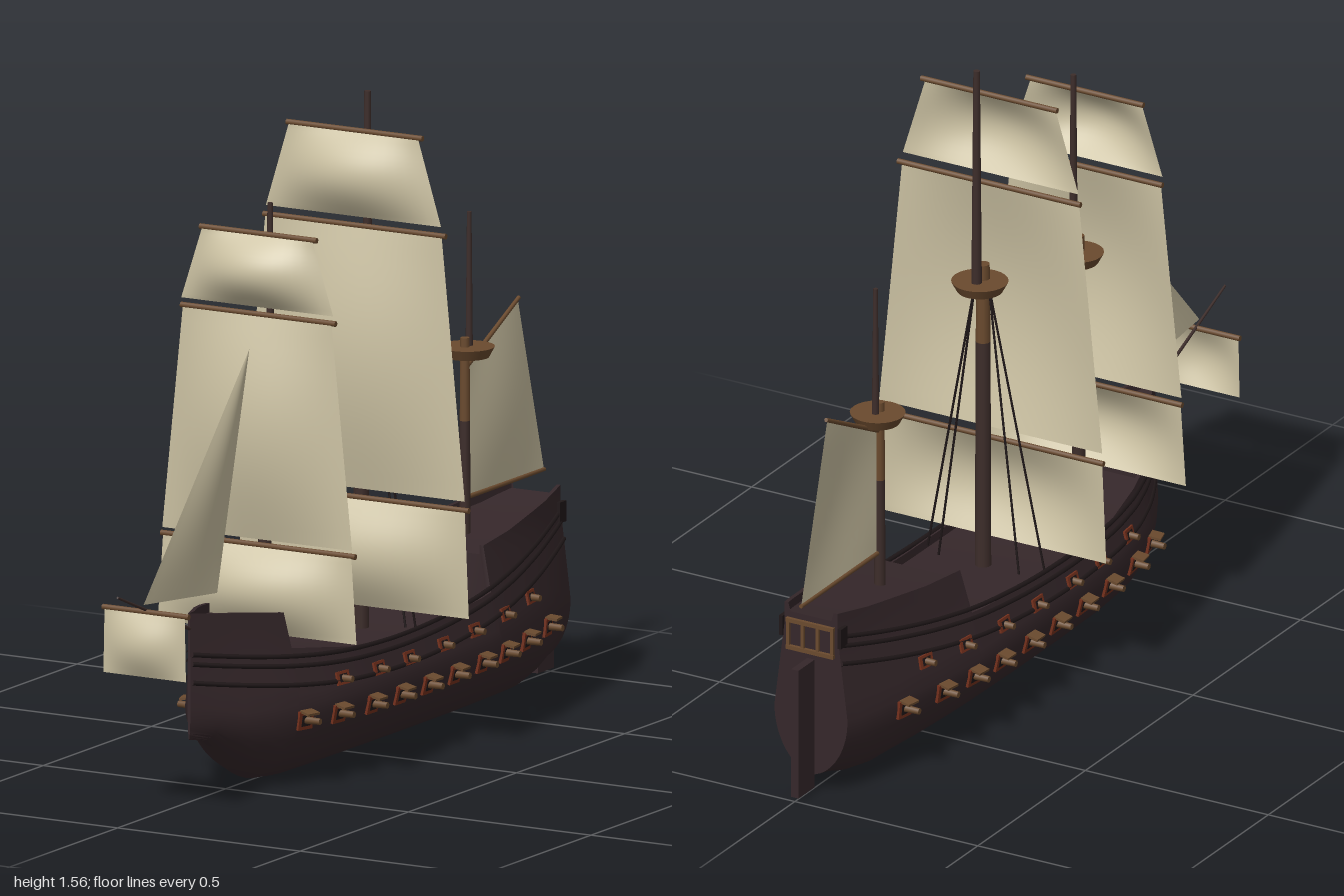
import * as THREE from 'three';
import { toCreasedNormals } from 'three/addons/utils/BufferGeometryUtils.js';

const mat = (name, color, side = THREE.FrontSide) => {
  const m = new THREE.MeshStandardMaterial({ color, side });
  m.name = name;
  return m;
};
const M = {
  hull: mat('dark hull wood', 0x35272a),
  trim: mat('black trim', 0x1f1718),
  mast: mat('dark mast wood', 0x3d2d2a),
  wood: mat('brown wood', 0x6a4a2e),
  red: mat('port red', 0x74301c),
  sail: mat('canvas', 0xcbc1a2, THREE.DoubleSide),
};
const V = (x, y, z) => new THREE.Vector3(x, y, z);

// Hull stations from bow to stern: z, half breadth, keel height, rim height
const STATIONS = [
  [0.67, 0.004, 0.15, 0.455], [0.6, 0.05, 0.135, 0.445], [0.55, 0.082, 0.1, 0.44],
  [0.48, 0.12, 0.045, 0.43], [0.412, 0.148, 0.01, 0.42], [0.405, 0.15, 0.008, 0.335],
  [0.33, 0.172, 0, 0.325], [0.2, 0.19, 0, 0.305], [0, 0.196, 0, 0.293],
  [-0.2, 0.196, 0, 0.295], [-0.4, 0.192, 0, 0.307], [-0.452, 0.189, 0, 0.312],
  [-0.462, 0.188, 0, 0.42], [-0.6, 0.172, 0, 0.43], [-0.75, 0.145, 0, 0.448],
  [-0.82, 0.128, 0.012, 0.455], [-0.88, 0.113, 0.033, 0.465], [-0.925, 0.1, 0.042, 0.472],
];
const waist = (k) => Math.max(0.2, k + 0.08);

// Half width of one section at height y: round below, leaning inwards above
function sectionWidth(b, k, y) {
  const w = waist(k);
  if (y >= w) return b * (1 - 0.28 * Math.min(1, (y - w) / 0.22));
  const c = 1 - Math.max(0, y - k) / (w - k);
  return b * Math.pow(Math.sqrt(1 - c * c), 1.15);
}
function hullWidth(z, y) {
  let i = 0;
  while (i < STATIONS.length - 2 && STATIONS[i + 1][0] > z) i++;
  const p = STATIONS[i], q = STATIONS[i + 1];
  const t = THREE.MathUtils.clamp((p[0] - z) / (p[0] - q[0]), 0, 1);
  return sectionWidth(p[1] + (q[1] - p[1]) * t, p[2] + (q[2] - p[2]) * t, y);
}

function hullGeometry() {
  const pos = [], idx = [];
  let n = 0;
  for (const [z, b, k, top] of STATIONS) {
    const half = [], w = waist(k);
    for (let s = 0; s <= 10; s++) {
      const y = k + (w - k) * (1 - Math.cos((s / 10) * Math.PI / 2));
      half.push([sectionWidth(b, k, y), y]);
    }
    for (let s = 1; s <= 5; s++) {
      const y = w + (top - w) * s / 5;
      half.push([sectionWidth(b, k, y), y]);
    }
    // bulwark and deck
    const inner = Math.max(0, half[15][0] - 0.01);
    half.push([inner, top], [inner, top - 0.022], [0, top - 0.022]);
    const ring = [...half, ...half.slice(0, -1).reverse().map(([x, y]) => [-x, y])];
    n = ring.length;
    ring.forEach(([x, y]) => pos.push(x, y, z));
  }
  const last = STATIONS.length - 1;
  for (let i = 0; i < last; i++) for (let j = 0; j < n - 1; j++) {
    const a = i * n + j, c = a + n;
    idx.push(a, c, a + 1, a + 1, c, c + 1);
  }
  // stem and transom caps
  const e = pos.length / 3;
  pos.push(0, 0.25, STATIONS[0][0], 0, 0.25, STATIONS[last][0]);
  for (let j = 0; j < n - 1; j++) idx.push(e, j, j + 1, e + 1, last * n + j + 1, last * n + j);
  const g = new THREE.BufferGeometry();
  g.setAttribute('position', new THREE.Float32BufferAttribute(pos, 3));
  g.setIndex(idx);
  return toCreasedNormals(g, 0.6);
}

export function createModel() {
  const ship = new THREE.Group();
  ship.name = 'sailingShip';
  const add = (name, geo, m, x = 0, y = 0, z = 0, parent = ship) => {
    const mesh = new THREE.Mesh(geo, m);
    mesh.name = name;
    mesh.position.set(x, y, z);
    parent.add(mesh);
    return mesh;
  };
  const box = (name, w, h, d, m, x, y, z, parent) => add(name, new THREE.BoxGeometry(w, h, d), m, x, y, z, parent);
  // round bar from a to b
  const rod = (name, a, b, r0, r1, m, sides = 10) => {
    const d = b.clone().sub(a);
    const mesh = add(name, new THREE.CylinderGeometry(r1, r0, d.length(), sides), m);
    mesh.position.copy(a).addScaledVector(d, 0.5);
    mesh.quaternion.setFromUnitVectors(V(0, 1, 0), d.normalize());
  };

  add('hull', hullGeometry(), M.hull);

  // Wales along both sides, following the sheer
  for (const side of [1, -1]) for (const off of [0.018, -0.005, -0.05]) {
    const pts = [];
    for (let i = 0; i <= 32; i++) {
      const z = 0.665 - i * 1.588 / 32, y = 0.275 + 0.14 * z * z + off;
      pts.push(V(side * hullWidth(z, y), y, z));
    }
    add('wale', new THREE.TubeGeometry(new THREE.CatmullRomCurve3(pts), 64, 0.006, 6), M.trim);
  }

  // Gun ports with barrels
  const port = (z, y, w, h, lid) => {
    for (const side of [1, -1]) {
      const x = hullWidth(z, y), e = 0.01;
      const dz = (hullWidth(z + e, y) - hullWidth(z - e, y)) / (2 * e);
      const dy = (hullWidth(z, y + e) - hullWidth(z, y - e)) / (2 * e);
      const g = new THREE.Group();
      g.name = 'gunPort';
      g.position.set(side * x, y, z);
      g.lookAt(side * (x + 1), y - dy, z - dz);
      box('portFrame', w, h, 0.009, M.red, 0, 0, 0.001, g);
      box('portOpening', w * 0.6, h * 0.6, 0.009, M.trim, 0, 0, 0.002, g);
      if (lid) box('portLid', w * 0.8, 0.006, 0.03, M.wood, 0, h * 0.5, 0.014, g);
      ship.add(g);
      rod('gunBarrel', V(side * (x - 0.02), y, z), V(side * (x + (lid ? 0.043 : 0.03)), y, z), 0.01, 0.008, M.wood, 8);
    }
  };
  [0.39, 0.275, 0.14, 0.015, -0.11, -0.235, -0.365, -0.48, -0.6, -0.74].forEach((z) => port(z, 0.158 + 0.03 * z * z, 0.046, 0.046, true));
  [0.255, 0.105, -0.03, -0.19, -0.34, -0.5, -0.65].forEach((z) => port(z, 0.237 + 0.06 * z * z, 0.046, 0.032, false));

  // Rudder and stern gallery
  box('rudder', 0.02, 0.33, 0.075, M.hull, 0, 0.175, -0.9625);
  for (const y of [0.36, 0.43]) box('galleryRail', 0.13, 0.01, 0.012, M.wood, 0, y, -0.928);
  for (const x of [-0.06, -0.02, 0.02, 0.06]) box('galleryPost', 0.008, 0.07, 0.01, M.wood, x, 0.395, -0.927);
  for (const s of [1, -1]) box('quarterTrim', 0.01, 0.05, 0.03, M.trim, s * 0.08, 0.41, -0.915);

  // Masts: lower mast, brown head, platform and topmast
  const mast = (name, z, base, head, zTop, tip, r, platformY, platformR) => {
    const joint = head - 0.2;
    rod(name + 'Lower', V(0, base, z), V(0, joint, z), r, r * 0.9, M.mast);
    rod(name + 'Head', V(0, joint, z), V(0, head, z), r * 0.9, r * 0.8, M.wood);
    rod(name + 'Top', V(0, platformY - 0.02, zTop), V(0, tip, zTop), r * 0.65, r * 0.4, M.mast);
    add(name + 'Platform', new THREE.CylinderGeometry(platformR, platformR * 0.8, 0.025, 24), M.wood, 0, platformY, (z + zTop) / 2);
  };
  mast('foreMast', 0.32, 0.25, 0.95, 0.295, 1.375, 0.017, 0.9, 0.066);
  mast('mainMast', -0.125, 0.2, 1.05, -0.155, 1.56, 0.02, 1.0, 0.068);
  mast('mizzenMast', -0.605, 0.35, 0.88, -0.625, 1.18, 0.014, 0.845, 0.066);

  // Shrouds of the main mast
  for (const s of [1, -1]) for (const [x, z] of [[0.16, -0.11], [0.11, -0.145]])
    rod('shroud', V(s * 0.02, 0.99, -0.13), V(s * x, 0.28, z), 0.003, 0.003, M.trim, 5);

  // Square sails bulging forward below their yards
  const squareSail = (name, z, top, bottom, wTop, wBottom, bulge) => {
    const g = new THREE.PlaneGeometry(2, 1, 16, 16), p = g.attributes.position;
    for (let i = 0; i < p.count; i++) {
      const u = p.getX(i), v = 0.5 - p.getY(i);
      p.setXYZ(i, u * (wTop + (wBottom - wTop) * v), top + (bottom - top) * v,
        z + bulge * Math.cos(u * Math.PI / 2) * Math.sin(v * Math.PI));
    }
    g.computeVertexNormals();
    add(name + 'Sail', g, M.sail);
    const w = wTop + 0.008;
    rod(name + 'Yard', V(-w, top + 0.004, z - 0.006), V(w, top + 0.004, z - 0.006), 0.007, 0.007, M.wood, 8);
  };
  squareSail('mainTopgallant', -0.09, 1.472, 1.27, 0.178, 0.24, 0.05);
  squareSail('mainTopsail', -0.09, 1.243, 0.615, 0.242, 0.305, 0.05);
  squareSail('mainCourse', -0.09, 0.588, 0.333, 0.305, 0.316, 0.05);
  squareSail('foreTopgallant', 0.355, 1.307, 1.135, 0.152, 0.208, 0.052);
  squareSail('foreTopsail', 0.355, 1.112, 0.575, 0.204, 0.26, 0.052);
  squareSail('foreCourse', 0.355, 0.556, 0.35, 0.258, 0.272, 0.052);
  squareSail('sprit', 0.875, 0.492, 0.34, 0.11, 0.113, 0.027);

  // Fore-and-aft sails: four corners with a slight belly to one side
  const sideSail = (name, a, b, c, d, belly) => {
    const g = new THREE.PlaneGeometry(1, 1, 12, 12), p = g.attributes.position;
    for (let i = 0; i < p.count; i++) {
      const u = p.getX(i) + 0.5, v = 0.5 - p.getY(i);
      const q = a.clone().lerp(b, u).lerp(d.clone().lerp(c, u), v);
      p.setXYZ(i, q.x + belly * Math.sin(u * Math.PI) * Math.sin(v * Math.PI), q.y, q.z);
    }
    g.computeVertexNormals();
    add(name, g, M.sail);
  };
  sideSail('jib', V(0, 1.045, 0.39), V(0, 1.04, 0.391), V(0, 0.515, 0.88), V(0, 0.48, 0.54), 0.012);
  sideSail('mizzenSail', V(0, 0.81, -0.62), V(0, 0.925, -0.85), V(0, 0.495, -0.97), V(0, 0.495, -0.62), 0.012);
  rod('gaff', V(0, 0.81, -0.615), V(0, 0.93, -0.855), 0.006, 0.005, M.wood, 8);
  rod('boom', V(0, 0.493, -0.615), V(0, 0.493, -0.972), 0.006, 0.005, M.wood, 8);
  rod('bowsprit', V(0, 0.39, 0.6), V(0, 0.555, 1), 0.005, 0.003, M.mast, 8);
  return ship;
}
